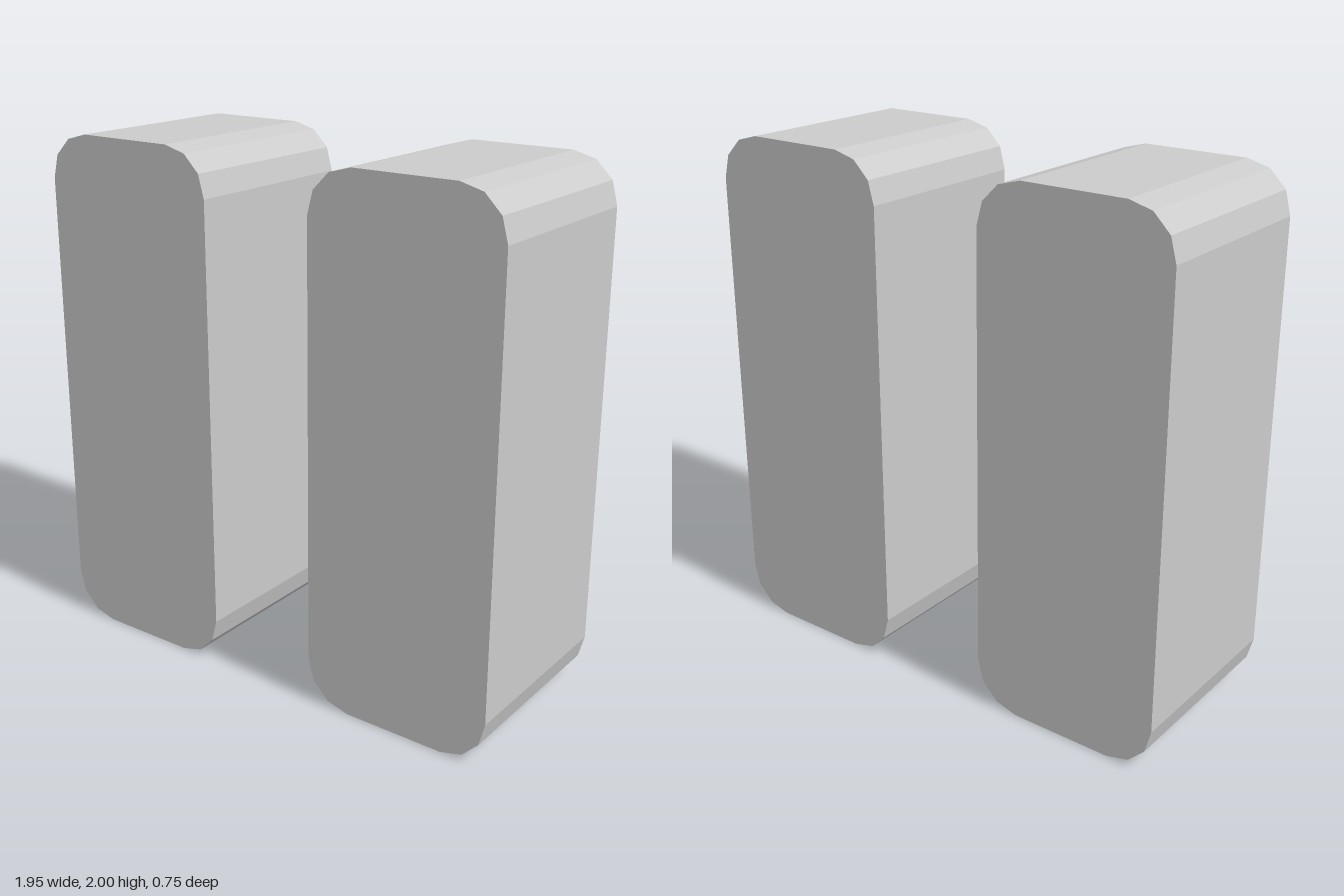
import * as THREE from 'three';

const WIDTH = 0.75, HEIGHT = 2, DEPTH = 0.75, RADIUS = 0.175, CORNER_STEPS = 3;

// Rectangle outline with faceted round corners, centred on the origin
function roundedOutline(w, h, r, steps) {
  const points = [];
  const corners = [[1, 1], [-1, 1], [-1, -1], [1, -1]];
  corners.forEach(([sx, sy], i) => {
    for (let k = 0; k <= steps; k++) {
      const a = (i + k / steps) * Math.PI / 2;
      points.push(new THREE.Vector2(
        sx * (w / 2 - r) + r * Math.cos(a),
        sy * (h / 2 - r) + r * Math.sin(a)));
    }
  });
  return new THREE.Shape(points);
}

export function createModel() {
  const group = new THREE.Group();
  group.name = 'blockPair';

  const material = new THREE.MeshStandardMaterial({ color: 0xcccccc, flatShading: true });
  const geometry = new THREE.ExtrudeGeometry(
    roundedOutline(WIDTH, HEIGHT, RADIUS, CORNER_STEPS),
    { depth: DEPTH, bevelEnabled: false });
  geometry.translate(0, HEIGHT / 2, -DEPTH / 2);

  // Two identical upright blocks, side by side
  for (const [name, side] of [['leftBlock', 1], ['rightBlock', -1]]) {
    const block = new THREE.Mesh(geometry, material);
    block.name = name;
    block.position.x = side * 0.6;
    group.add(block);
  }
  return group;
}
